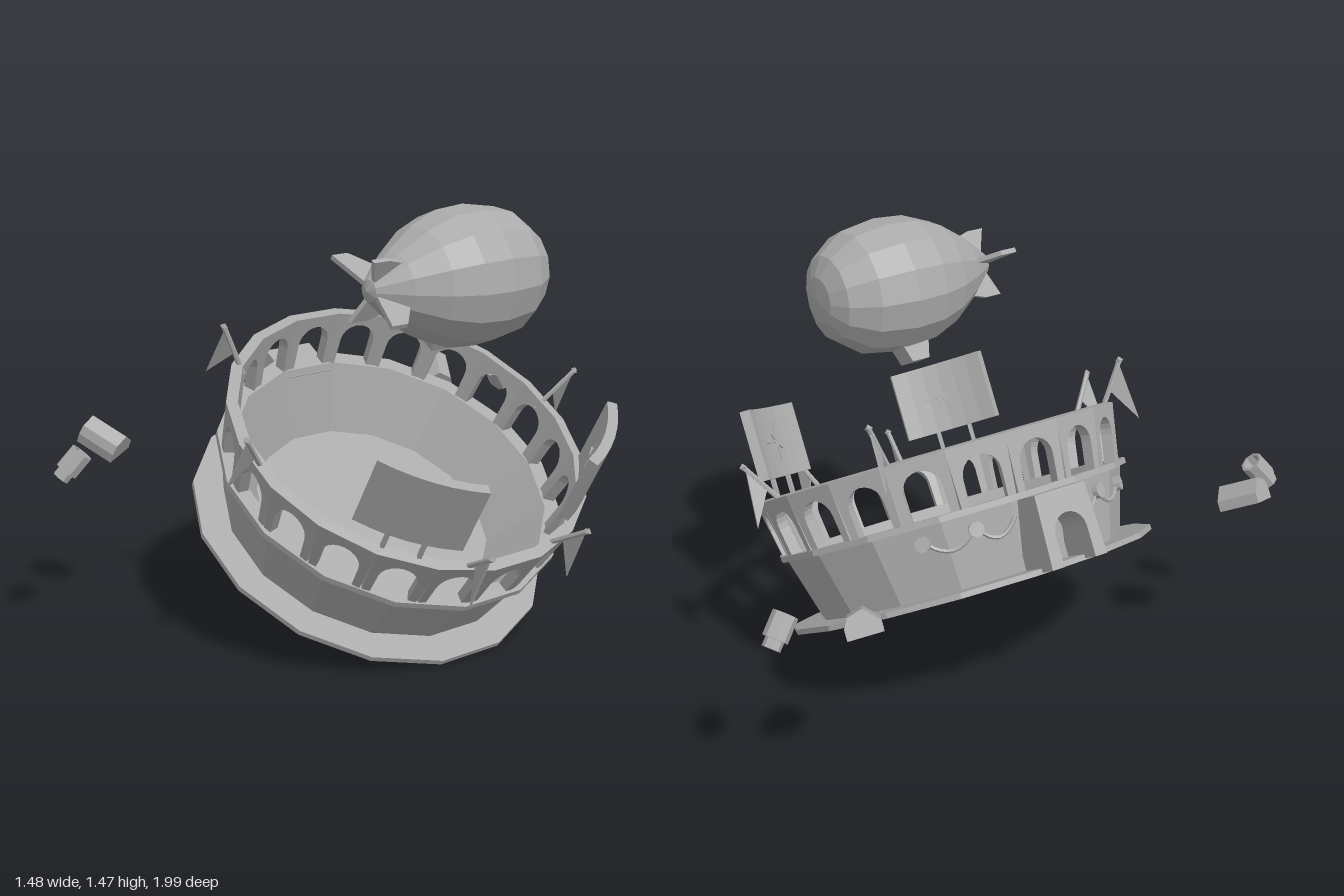
import * as THREE from 'three';

const RAD = Math.PI / 180;
const stone = new THREE.MeshStandardMaterial({ color: 0xaaaaaa, flatShading: true, side: THREE.DoubleSide });
stone.name = 'grey stone';

function add(parent, name, geometry, x = 0, y = 0, z = 0) {
  const mesh = new THREE.Mesh(geometry, stone);
  mesh.name = name;
  mesh.position.set(x, y, z);
  parent.add(mesh);
  return mesh;
}

// Group whose +x axis points outward at the given angle (degrees, from +x towards +z)
function radial(parent, name, degrees) {
  const group = new THREE.Group();
  group.name = name;
  group.rotation.y = -degrees * RAD;
  parent.add(group);
  return group;
}

function polygon(points) {
  return new THREE.Shape(points.map(([x, y]) => new THREE.Vector2(x, y)));
}

function extrude(shape, depth, curveSegments = 5) {
  return new THREE.ExtrudeGeometry(shape, { depth, bevelEnabled: false, curveSegments });
}

// Wall panel with an arched opening, open at the foot; depth runs outward along +x
function archPanel(bottom, top, height, opening, spring, depth) {
  const s = new THREE.Shape();
  const r = opening / 2;
  s.moveTo(-bottom / 2, 0);
  s.lineTo(-r, 0);
  s.lineTo(-r, spring);
  s.absarc(0, spring, r, Math.PI, 0, true);
  s.lineTo(r, 0);
  s.lineTo(bottom / 2, 0);
  s.lineTo(top / 2, height);
  s.lineTo(-top / 2, height);
  return extrude(s, depth).rotateY(Math.PI / 2);
}

function facetedLathe(points, sides) {
  const k = 1 / Math.cos(Math.PI / sides);
  return new THREE.LatheGeometry(points.map(([r, y]) => new THREE.Vector2(r * k, y)), sides, Math.PI / sides);
}

function buildBowl(arena) {
  add(arena, 'basePlate', facetedLathe([[0, 0.2], [0.62, 0.2], [0.62, 0.218], [0, 0.218]], 16));
  add(arena, 'bowlWall', facetedLathe([
    [0.515, 0.215], [0.58, 0.44], [0.6, 0.44], [0.6, 0.46],
    [0.545, 0.46], [0.41, 0.25], [0, 0.25]], 16));
  // Ring of arches
  const arch = archPanel(0.178, 0.199, 0.203, 0.125, 0.1, 0.038).rotateZ(-0.18);
  for (let i = 0; i < 20; i++) {
    add(radial(arena, 'arcadeBay', i * 18), 'arch', arch, 0.55, 0.457, 0);
  }
  // Entrance
  const gate = radial(arena, 'entrance', 180);
  add(gate, 'portal', archPanel(0.21, 0.19, 0.235, 0.12, 0.1, 0.15), 0.53, 0.205, 0);
}

function buildGarlands(arena) {
  const wallPoint = (deg, y) => {
    const r = 0.53 + (y - 0.22) * 0.29;
    return new THREE.Vector3(r * Math.cos(deg * RAD), y, r * Math.sin(deg * RAD));
  };
  for (const side of [1, -1]) {
    for (const [from, to] of [[139, 156], [156, 169]]) {
      const points = [0, 0.25, 0.5, 0.75, 1].map(t =>
        wallPoint(side * (from + (to - from) * t), 0.395 - 0.2 * t * (1 - t)));
      add(arena, 'garland', new THREE.TubeGeometry(new THREE.CatmullRomCurve3(points), 10, 0.007, 5));
    }
    for (const angle of [139, 156]) {
      const disc = new THREE.CylinderGeometry(0.025, 0.025, 0.02, 10).rotateZ(Math.PI / 2);
      add(radial(arena, 'garlandRosette', side * angle), 'rosette', disc, 0.583, 0.388, 0);
    }
  }
}

function buildBoards(arena) {
  const sector = new THREE.Shape();
  sector.absarc(0, 0, 0.61, -17 * RAD, 17 * RAD, false);
  sector.absarc(0, 0, 0.575, 17 * RAD, -17 * RAD, true);
  const panel = extrude(sector, 0.25, 3).rotateX(-Math.PI / 2);
  const starPoints = [];
  for (let i = 0; i < 16; i++) {
    const r = i % 2 ? 0.013 : i % 4 ? 0.04 : 0.075;
    starPoints.push([r * Math.cos(i * Math.PI / 8), r * Math.sin(i * Math.PI / 8)]);
  }
  const star = extrude(polygon(starPoints), 0.006).rotateY(Math.PI / 2);
  for (const side of [1, -1]) {
    const board = radial(arena, 'displayBoard', side * 38.5);
    add(board, 'panel', panel, 0, 0.72, 0);
    add(board, 'star', star, 0.564, 0.845, 0);
    for (const z of [-0.06, 0.06]) {
      add(board, 'boardLeg', new THREE.BoxGeometry(0.014, 0.12, 0.014), 0.592, 0.68, z);
    }
  }
}

function buildFlags(arena) {
  const from = new THREE.Vector3(0.585, 0.62, 0);
  const to = new THREE.Vector3(0.695, 0.775, 0);
  const pole = new THREE.TubeGeometry(new THREE.LineCurve3(from, to), 1, 0.009, 6);
  const pennant = extrude(polygon([[0.69, 0.768], [0.635, 0.69], [0.705, 0.575]]), 0.006).translate(0, 0, -0.003);
  for (const angle of [17, 90, 136, -17, -90, -136]) {
    const flag = radial(arena, 'flag', angle);
    add(flag, 'pole', pole);
    add(flag, 'pennant', pennant);
    add(flag, 'finial', new THREE.OctahedronGeometry(0.014), 0.695, 0.775, 0);
  }
}

function buildAirship(arena) {
  const ship = new THREE.Group();
  ship.name = 'airship';
  ship.position.set(-0.09, 1.235, 0);
  arena.add(ship);
  // Hull, nose towards -z
  const profile = [[0, -0.32], [0.075, -0.313], [0.14, -0.28], [0.2, -0.19], [0.22, -0.06],
    [0.212, 0.05], [0.175, 0.15], [0.11, 0.25], [0.035, 0.34], [0, 0.352]];
  add(ship, 'hull', facetedLathe(profile, 14).rotateX(Math.PI / 2));
  // Tail fins: long ones sideways, short ones upright
  for (let i = 0; i < 4; i++) {
    const span = i % 2 ? 0.118 : 0.172;
    const fin = extrude(polygon([[0.03, 0.25], [0.1, 0.25], [span, 0.31], [span, 0.37], [0.03, 0.335]]), 0.016)
      .translate(0, 0, -0.008).rotateX(Math.PI / 2);
    add(ship, 'tailFin', fin).rotation.z = i * Math.PI / 2;
  }
  // Gondola, narrower at its foot
  const gondola = extrude(polygon([[-0.075, -0.18], [0.045, -0.18], [0.015, -0.272], [-0.05, -0.272]]), 0.085)
    .translate(0, 0, -0.0425).rotateY(Math.PI / 2);
  add(ship, 'gondola', gondola, 0, 0, -0.045);
}

function buildOutliers(arena) {
  for (const side of [1, -1]) {
    // Small gabled hut
    const gable = polygon([[-0.055, 0], [0.055, 0], [0.055, 0.035], [0.01, 0.08], [-0.04, 0.065], [-0.055, 0.035]]);
    const hut = add(arena, 'hut', extrude(gable, 0.14).translate(0, 0, -0.07), -0.61, 0.2, side * 0.735);
    hut.rotation.y = side * 117 * RAD;
    // Tilted barrel with a hollow mouth and a narrower foot
    const barrel = new THREE.Group();
    barrel.name = 'barrel';
    barrel.position.set(-0.48, 0.278, side * 0.94);
    barrel.quaternion.setFromUnitVectors(new THREE.Vector3(0, 1, 0),
      new THREE.Vector3(-0.02, 0.1, side * -0.08).normalize());
    arena.add(barrel);
    add(barrel, 'barrelBody', facetedLathe([[0, -0.055], [0.027, -0.055], [0.027, -0.025], [0.037, -0.025],
      [0.037, 0.055], [0.028, 0.055], [0.028, 0.0], [0, 0.0]], 8));
  }
}

export function createModel() {
  const model = new THREE.Group();
  model.name = 'arenaWithAirship';
  // Everything leans together towards +x
  const arena = new THREE.Group();
  arena.name = 'tiltedArena';
  arena.position.set(-0.234, 0.135, 0);
  arena.rotation.z = -30 * RAD;
  model.add(arena);
  buildBowl(arena);
  buildGarlands(arena);
  buildBoards(arena);
  buildFlags(arena);
  buildAirship(arena);
  buildOutliers(arena);
  return model;
}
